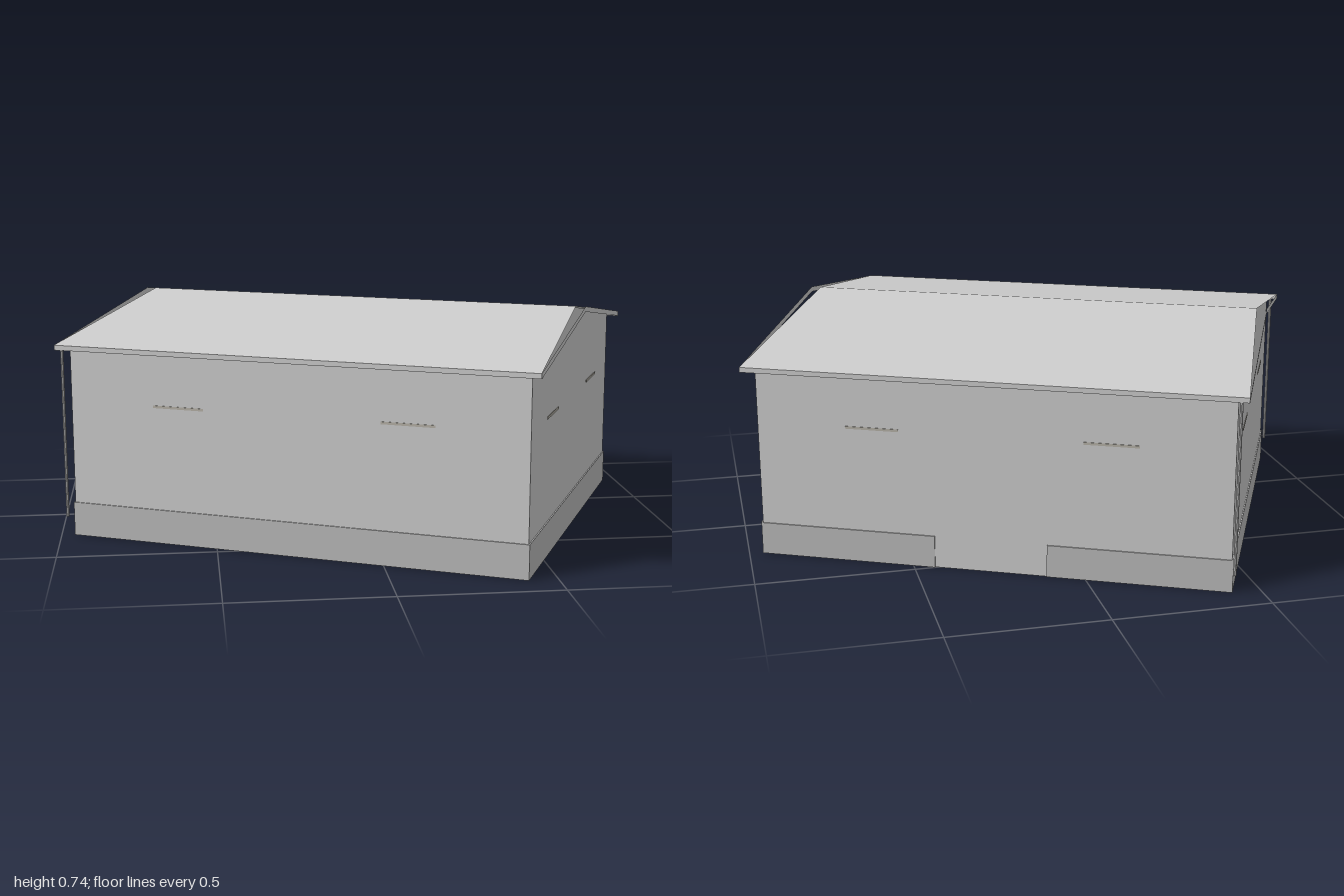
import * as THREE from 'three';

const U = 0.752, V = 0.635;        // wall half length and half depth
const RU = 0.787, RV = 0.675;      // roof overhang
const RIDGE_U = 0.755, RIDGE = 0.737, EAVE = 0.632;
const roofY = v => RIDGE - (RIDGE - EAVE) * Math.abs(v) / RV;

const material = (color = 0xcccccc) =>
  new THREE.MeshStandardMaterial({ color, flatShading: true, side: THREE.DoubleSide });

export function createModel() {
  const model = new THREE.Group();
  model.name = 'house';
  const house = new THREE.Group();
  house.name = 'building';
  house.rotation.y = -THREE.MathUtils.degToRad(25.4);
  model.add(house);

  const plain = material();
  const plinthMaterial = material(0xbababa);
  const stripMaterial = material(0xb4b0a6);

  function add(name, geometry, mat = plain) {
    const mesh = new THREE.Mesh(geometry, mat);
    mesh.name = name;
    house.add(mesh);
    return mesh;
  }

  // Flat convex sheet, corners counter-clockwise as seen from its outside
  function sheet(name, corners, mat) {
    const p = [];
    for (let i = 1; i < corners.length - 1; i++) p.push(...corners[0], ...corners[i], ...corners[i + 1]);
    const g = new THREE.BufferGeometry();
    g.setAttribute('position', new THREE.Float32BufferAttribute(p, 3));
    g.computeVertexNormals();
    add(name, g, mat);
  }

  function box(name, size, position, mat) {
    add(name, new THREE.BoxGeometry(...size), mat).position.set(...position);
  }

  const wallTop = roofY(V) - 0.004;
  for (const s of [1, -1]) {
    const end = s > 0 ? 'Left' : 'Right', side = s > 0 ? 'front' : 'back';

    // Long walls and gable walls, open underneath
    sheet(side + 'Wall', [[-s * U, 0, s * V], [s * U, 0, s * V], [s * U, wallTop, s * V], [-s * U, wallTop, s * V]]);
    sheet('gableWall' + end, [[s * U, 0, s * V], [s * U, 0, -s * V], [s * U, wallTop, -s * V],
      [s * U, RIDGE - 0.004, 0], [s * U, wallTop, s * V]]);

    // Roof slope, shorter along the ridge than along the eave
    sheet(side + 'RoofSlope', [[-s * RU, EAVE, s * RV], [s * RU, EAVE, s * RV],
      [s * RIDGE_U, RIDGE, 0], [-s * RIDGE_U, RIDGE, 0]]);

    // Eave gutter
    box(side + 'Gutter', [2 * RU, 0.016, 0.014], [0, EAVE - 0.008, s * (RV - 0.007)]);

    // Thin rake boards standing at each gable end
    for (const t of [1, -1]) {
      const x = s * RU, h = 0.017, z = s * t * RV;
      const board = [[x, EAVE - h, z], [x, RIDGE - h, 0], [x, RIDGE, 0], [x, EAVE, z]];
      sheet('rakeBoard' + end, t > 0 ? board : board.reverse());
    }

    // Downpipes at the right gable end
    const pipe = add(side + 'Downpipe', new THREE.CylinderGeometry(0.005, 0.005, 0.55, 8));
    pipe.position.set(-0.763, 0.345, s * 0.668);

    // Narrow window strips, two on every wall
    for (const t of [1, -1]) {
      box(side + 'WindowStrip', [0.172, 0.008, 0.004], [t * 0.377, 0.446, s * V], stripMaterial);
      box('gableWindowStrip' + end, [0.004, 0.008, 0.168], [s * U, 0.446, t * 0.322], stripMaterial);
    }

    // Plinth along the gables
    box('gablePlinth' + end, [0.005, 0.11, 2 * V + 0.008], [s * (U + 0.0015), 0.055, 0], plinthMaterial);
  }

  // Plinth along the front, and in two pieces beside the doorway at the back
  box('frontPlinth', [2 * U, 0.11, 0.005], [0, 0.055, V + 0.0015], plinthMaterial);
  const gap = 0.18;
  for (const s of [1, -1]) {
    box('backPlinth', [U - gap, 0.105, 0.005], [s * (U + gap) / 2, 0.0525, -V - 0.0015], plinthMaterial);
  }
  return model;
}
